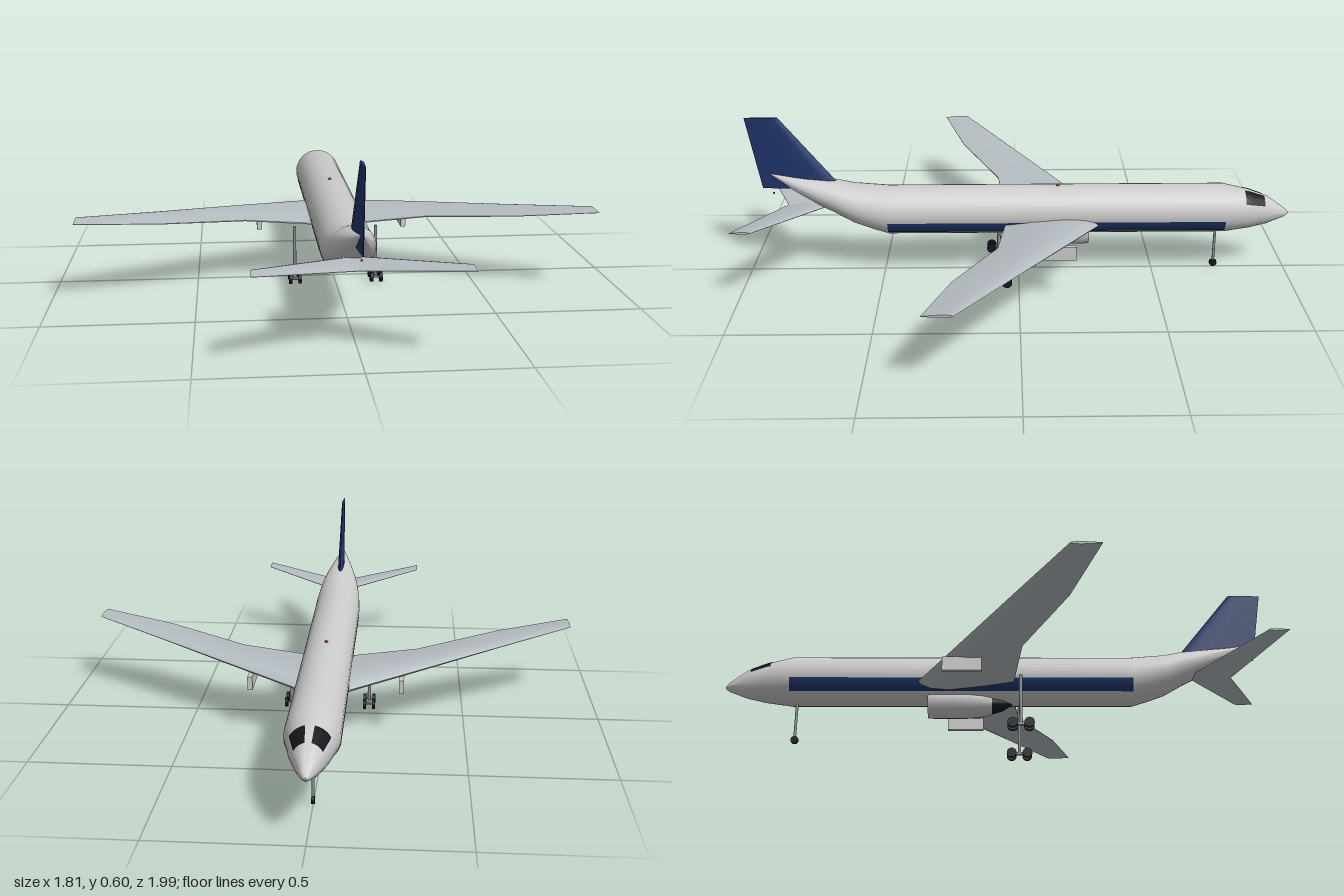
import * as THREE from 'three';
import { toCreasedNormals } from 'three/addons/utils/BufferGeometryUtils.js';

const mat = (color, extra = {}) => new THREE.MeshStandardMaterial({ color, ...extra });
const V = (x, y, z) => new THREE.Vector3(x, y, z);

// Body stations, nose to tail: z, centre height, half width, half height
const BODY = [
  [-1, 0.22, 0.004, 0.004], [-0.985, 0.222, 0.017, 0.017], [-0.92, 0.233, 0.045, 0.053],
  [-0.85, 0.238, 0.068, 0.073], [-0.756, 0.243, 0.09, 0.09], [0.477, 0.243, 0.09, 0.09],
  [0.54, 0.256, 0.088, 0.082], [0.6, 0.27, 0.083, 0.073], [0.665, 0.296, 0.073, 0.061],
  [0.73, 0.317, 0.059, 0.048], [0.82, 0.35, 0.034, 0.026], [0.9, 0.385, 0.004, 0.004],
];

// Point on the body skin; angle a is measured from the top towards +x
function skin(z, a, lift = 0) {
  let i = 0;
  while (i < BODY.length - 2 && z > BODY[i + 1][0]) i++;
  const p = BODY[i], q = BODY[i + 1], t = (z - p[0]) / (q[0] - p[0]);
  const [cy, rx, ry] = [1, 2, 3].map((k) => p[k] + (q[k] - p[k]) * t);
  return V(Math.sin(a) * (rx + lift), cy + Math.cos(a) * (ry + lift), z);
}

// Closed loft through equal rings, with end caps; winding is turned outwards
function loft(rings, crease) {
  const n = rings[0].length, pts = rings.flat(), tri = [];
  for (let r = 0; r < rings.length - 1; r++) {
    for (let i = 0; i < n; i++) {
      const a = r * n + i, b = r * n + (i + 1) % n;
      tri.push([a, b, a + n], [b, b + n, a + n]);
    }
  }
  const last = (rings.length - 1) * n;
  for (let i = 1; i < n - 1; i++) tri.push([0, i + 1, i], [last, last + i, last + i + 1]);
  const volume = tri.reduce((s, [a, b, c]) => s + pts[a].dot(pts[b].clone().cross(pts[c])), 0);
  const geo = new THREE.BufferGeometry().setFromPoints(pts);
  geo.setIndex(tri.flatMap(([a, b, c]) => (volume < 0 ? [a, c, b] : [a, b, c])));
  geo.computeVertexNormals();
  return toCreasedNormals(geo, crease);
}

// Thin patch lying on the body skin
function skinPatch(z0, z1, a0, a1, nz, na) {
  const geo = new THREE.PlaneGeometry(1, 1, na, nz), pos = geo.attributes.position;
  for (let i = 0; i < pos.count; i++) {
    const p = skin(z0 + (z1 - z0) * (pos.getY(i) + 0.5), a0 + (a1 - a0) * (pos.getX(i) + 0.5), 0.0015);
    pos.setXYZ(i, p.x, p.y, p.z);
  }
  geo.computeVertexNormals();
  return geo;
}

// Aerofoil panel; stations: span, height, leading z, trailing z, half thickness
const FOIL = [[0, 0], [0.04, 0.45], [0.15, 0.85], [0.35, 1], [0.7, 0.6], [1, 0.1]];
const OUTLINE = [...FOIL, ...FOIL.slice(1).reverse().map(([t, h]) => [t, -h])];
function panel(stations, place) {
  return loft(stations.map(([span, level, z0, z1, thick]) =>
    OUTLINE.map(([t, h]) => place(span, level + h * thick, z0 + (z1 - z0) * t))), 0.7);
}

export function createModel() {
  const group = new THREE.Group();
  const white = mat(0xececec), grey = mat(0xb6bdc2), metal = mat(0xcccccc);
  const blue = mat(0x1f3468), dark = mat(0x15171c), strutGrey = mat(0x8c9094);
  const trim = mat(0x1f3468, { side: THREE.DoubleSide });
  const glass = mat(0x15171c, { side: THREE.DoubleSide });
  const red = mat(0xb02020);

  function add(name, geo, material, x = 0, y = 0, z = 0) {
    const mesh = new THREE.Mesh(geo, material);
    mesh.name = name;
    mesh.position.set(x, y, z);
    group.add(mesh);
    return mesh;
  }

  // Body
  const rings = BODY.map(([z]) => Array.from({ length: 32 }, (_, i) => skin(z, (i / 32) * Math.PI * 2)));
  add('fuselage', loft(rings, 0.6), white);

  // Wings, tailplane, stripes, windscreen, pylons and main gear on both sides
  const wing = [
    [0, 0.203, -0.345, 0.045, 0.027], [0.09, 0.21, -0.29, 0.05, 0.025], [0.325, 0.233, -0.147, 0.075, 0.018],
    [0.63, 0.263, 0.038, 0.22, 0.01], [0.905, 0.289, 0.205, 0.303, 0.005],
  ];
  const tailplane = [[0, 0.262, 0.685, 0.845, 0.009], [0.325, 0.296, 0.92, 0.992, 0.004]];
  for (const s of [1, -1]) {
    const side = s > 0 ? 'left' : 'right';
    const across = (span, level, z) => V(s * span, level, z);
    add(side + 'Wing', panel(wing, across), grey);
    add(side + 'Tailplane', panel(tailplane, across), grey);
    add(side + 'Stripe', skinPatch(-0.756, 0.477, s * 1.8, s * 2.35, 1, 8), trim);
    // Windscreen pane narrows towards the nose
    add(side + 'Windscreen', skinPatch(-0.906, -0.832, s * 0.2, s * 1.05, 8, 8), glass);
    add(side + 'Pylon', new THREE.BoxGeometry(0.018, 0.05, 0.136), metal, s * 0.27, 0.188, -0.132);

    // Main gear: strut, axle beams and four wheels
    add(side + 'GearStrut', new THREE.CylinderGeometry(0.006, 0.006, 0.18, 12), strutGrey, s * 0.148, 0.115, 0.072);
    add(side + 'GearBeam', new THREE.BoxGeometry(0.01, 0.01, 0.06), strutGrey, s * 0.148, 0.02, 0.072);
    for (const dz of [-0.029, 0.029]) {
      const axle = add(side + 'GearAxle', new THREE.CylinderGeometry(0.004, 0.004, 0.036, 8), strutGrey, s * 0.148, 0.018, 0.072 + dz);
      axle.rotation.z = Math.PI / 2;
      for (const dx of [-0.017, 0.017]) {
        const wheel = add(side + 'GearWheel', new THREE.CylinderGeometry(0.018, 0.018, 0.011, 20), dark, s * 0.148 + dx, 0.018, 0.072 + dz);
        wheel.rotation.z = Math.PI / 2;
      }
    }
  }

  // Fin
  const fin = [[0.33, 0, 0.643, 0.933, 0.014], [0.6, 0, 0.86, 0.98, 0.006]];
  add('fin', panel(fin, (span, level, z) => V(level, span, z)), blue);

  // Belly nacelle, turned along z, with dark intake and tail cone
  const lathe = (name, profile, material) => {
    const geo = new THREE.LatheGeometry(profile.map(([r, z]) => new THREE.Vector2(r, z)), 28);
    add(name, toCreasedNormals(geo, 0.6), material, 0, 0.158, 0).rotation.x = Math.PI / 2;
  };
  lathe('nacelle', [[0.046, -0.235], [0.048, -0.258], [0.053, -0.26], [0.055, -0.24],
    [0.055, -0.12], [0.05, -0.065], [0.042, -0.03], [0.036, -0.03]], metal);
  lathe('intake', [[0, -0.235], [0.048, -0.235]], dark);
  lathe('exhaustCone', [[0.04, -0.032], [0.028, 0.01], [0, 0.052]], dark);

  // Nose gear
  add('noseGearStrut', new THREE.CylinderGeometry(0.005, 0.005, 0.15, 12), strutGrey, 0, 0.092, -0.735);
  const noseWheel = add('noseGearWheel', new THREE.CylinderGeometry(0.014, 0.014, 0.011, 20), dark, 0, 0.016, -0.735);
  noseWheel.rotation.z = Math.PI / 2;

  // Beacons
  add('topBeacon', new THREE.SphereGeometry(0.006, 12, 8), red, 0, 0.334, -0.145);
  add('tailBeacon', new THREE.SphereGeometry(0.004, 12, 8), red, 0, 0.31, 0.895);
  return group;
}
